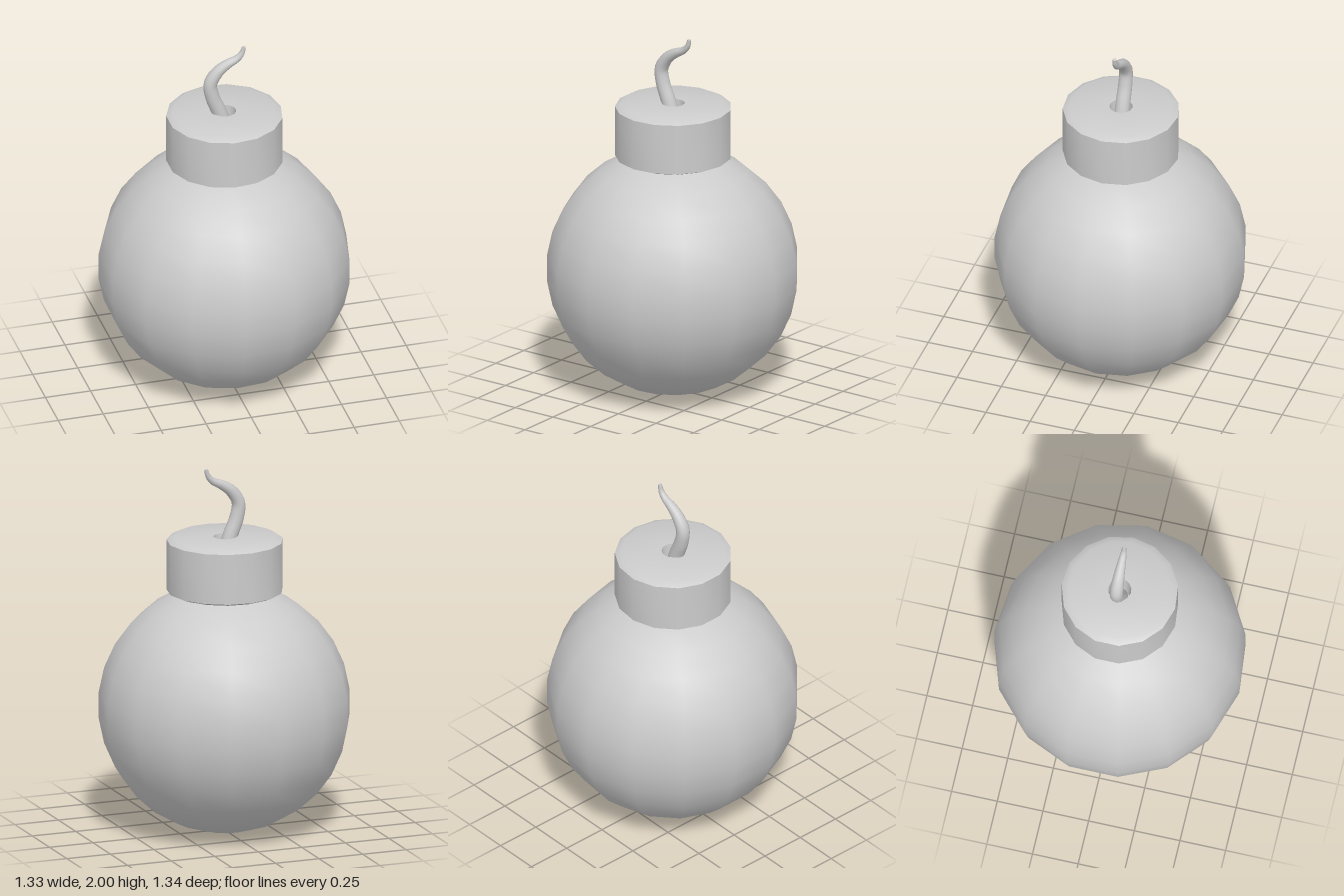
import * as THREE from 'three';
import { toCreasedNormals } from 'three/addons/utils/BufferGeometryUtils.js';

const SIDES = 15;
const AXIS_X = -0.007; // 15-sided rings sit slightly off centre

// Tube along a path whose radius follows radiusAt(t)
function taperedTube(curve, radiusAt, steps, sides) {
  const geo = new THREE.TubeGeometry(curve, steps, 1, sides, false);
  const pos = geo.attributes.position;
  const v = new THREE.Vector3();
  for (let i = 0; i <= steps; i++) {
    const centre = curve.getPointAt(i / steps);
    for (let j = 0; j <= sides; j++) {
      const k = i * (sides + 1) + j;
      v.fromBufferAttribute(pos, k).sub(centre).multiplyScalar(radiusAt(i / steps)).add(centre);
      pos.setXYZ(k, v.x, v.y, v.z);
    }
  }
  return geo;
}

export function createModel() {
  const group = new THREE.Group();
  const material = new THREE.MeshStandardMaterial({ color: 0xcccccc });
  const add = (name, geo) => {
    const mesh = new THREE.Mesh(geo, material);
    mesh.name = name;
    group.add(mesh);
    return mesh;
  };

  // Round body, one corner of each ring pointing to +x
  const body = add('body', new THREE.SphereGeometry(0.678, SIDES, 15, Math.PI));
  body.position.set(AXIS_X, 0.68, 0);

  // Bevelled collar with a fuse hole in its top
  const profile = [
    [0.2, 1.31], [0.275, 1.31], [0.312, 1.325], [0.312, 1.6],
    [0.275, 1.62], [0.062, 1.62], [0.05, 1.5], [0, 1.5],
  ].map(([r, y]) => new THREE.Vector2(r, y));
  const collar = add('collar',
    toCreasedNormals(new THREE.LatheGeometry(profile, SIDES, Math.PI / 2), THREE.MathUtils.degToRad(32)));
  collar.position.x = AXIS_X;

  // Curling fuse that thins towards its tip
  const path = new THREE.CatmullRomCurve3([
    [0.0, 1.5], [-0.037, 1.62], [-0.075, 1.72], [-0.085, 1.8], [-0.045, 1.867],
    [0.01, 1.907], [0.06, 1.931], [0.09, 1.962], [0.1, 2.0],
  ].map(([x, y]) => new THREE.Vector3(x, y, 0)));
  const radiusAt = (t) => (t < 0.55 ? 0.044 - 0.014 * t : 0.0363 - 0.0263 * ((t - 0.55) / 0.45) ** 1.3);
  add('fuse', taperedTube(path, radiusAt, 28, 12));

  // Flat end closing the fuse
  const tip = add('fuseTip', new THREE.CircleGeometry(0.01, 12));
  tip.position.copy(path.getPointAt(1));
  tip.quaternion.setFromUnitVectors(new THREE.Vector3(0, 0, 1), path.getTangentAt(1));

  return group;
}
